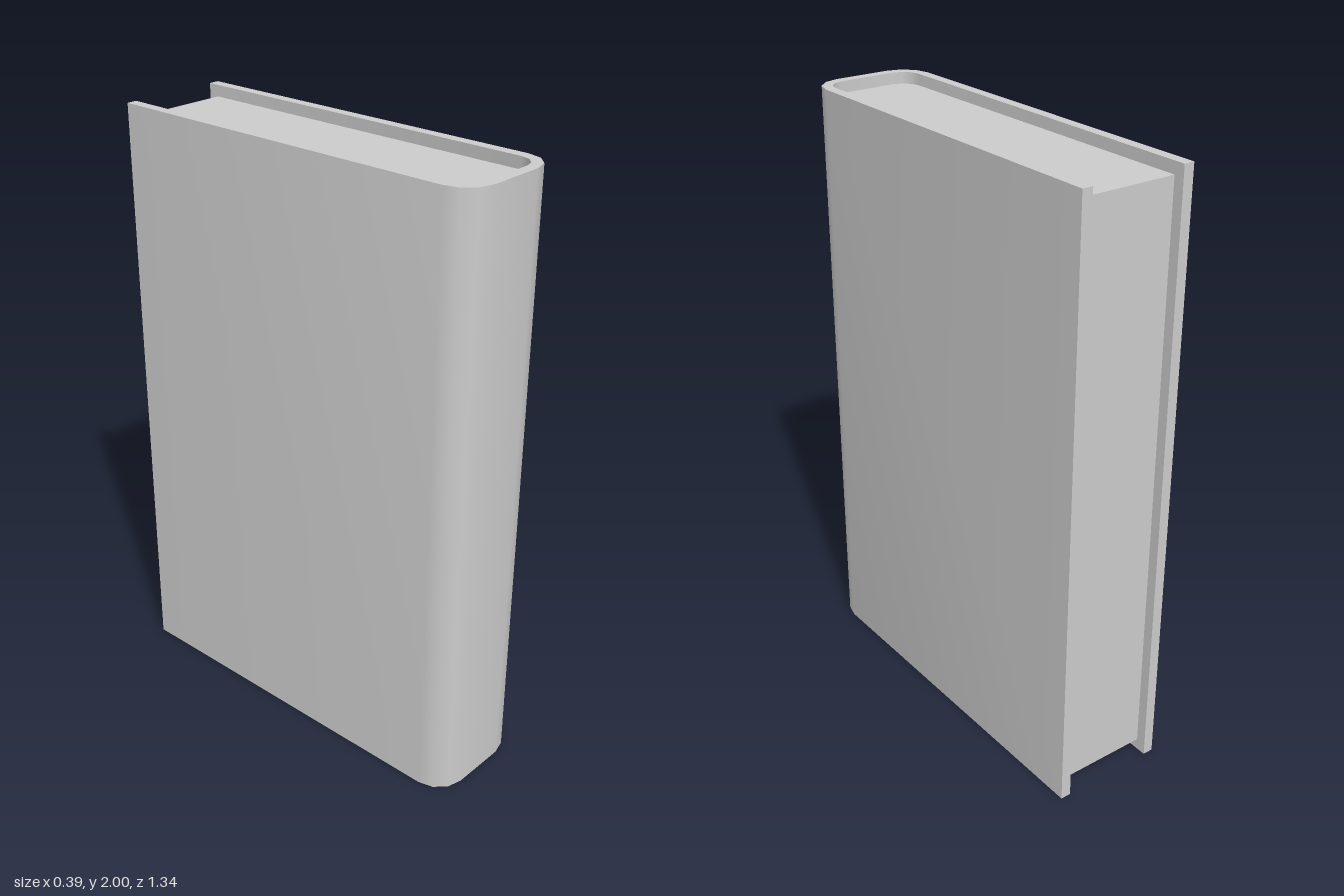
import * as THREE from 'three';
import { toCreasedNormals } from 'three/addons/utils/BufferGeometryUtils.js';

const HEIGHT = 2, HALF_W = 0.193, HALF_D = 0.67;
const BOARD = 0.035;   // cover thickness
const RECESS = 0.038;  // pages sit inside the cover at top, bottom and fore edge
const RADIUS = 0.098;  // outer radius of the spine corners

// U-shaped outline from back right, round the spine, to back left, moved inwards by inset.
function uOutline(inset, backZ) {
  const w = HALF_W - inset, cx = HALF_W - RADIUS, cz = HALF_D - RADIUS, r = RADIUS - inset;
  const points = [new THREE.Vector2(w, backZ)];
  for (const side of [1, -1]) {
    for (let i = 0; i <= 3; i++) {
      const a = (side > 0 ? i : 3 - i) * Math.PI / 6;
      points.push(new THREE.Vector2(side * (cx + r * Math.cos(a)), cz + r * Math.sin(a)));
    }
  }
  points.push(new THREE.Vector2(-w, backZ));
  return points;
}

// Stand a plan outline (x, z) upright between two heights.
function upright(name, points, bottom, top, material) {
  const geometry = new THREE.ExtrudeGeometry(new THREE.Shape(points), { depth: top - bottom, bevelEnabled: false });
  geometry.rotateX(Math.PI / 2);
  geometry.translate(0, top, 0);
  const mesh = new THREE.Mesh(toCreasedNormals(geometry, 0.6), material);
  mesh.name = name;
  return mesh;
}

export function createModel() {
  const material = new THREE.MeshStandardMaterial({ color: 0xcccccc });
  const book = new THREE.Group();
  book.name = 'book';

  // Cover: two boards joined by a rounded spine
  const outer = uOutline(0, -HALF_D);
  const inner = uOutline(BOARD, -HALF_D).reverse();
  book.add(upright('cover', [...outer, ...inner], 0, HEIGHT, material));

  // Page block filling the cover
  book.add(upright('pages', uOutline(BOARD, -HALF_D + BOARD), RECESS, HEIGHT - RECESS, material));
  return book;
}
